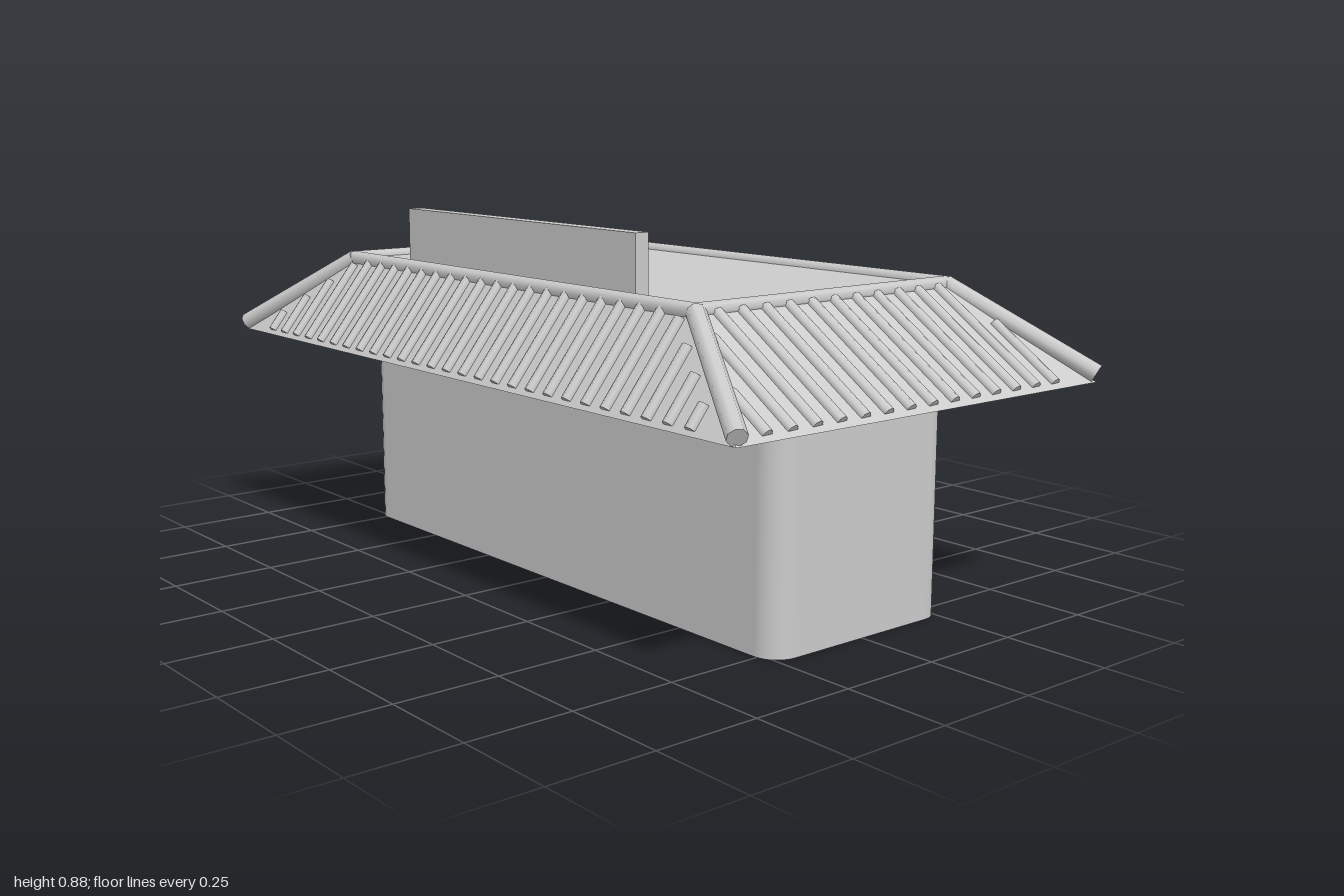
import * as THREE from 'three';

const EAVE = { x: 0.985, y: 0.53, z: 0.548 };
const RIDGE = { x: 0.685, y: 0.738, z: 0.384 };
const V = (x, y, z) => new THREE.Vector3(x, y, z);

export function createModel() {
  const model = new THREE.Group();
  const smooth = new THREE.MeshStandardMaterial({ color: 0xcccccc, side: THREE.DoubleSide });
  const flat = new THREE.MeshStandardMaterial({ color: 0xcccccc, flatShading: true });

  function add(parent, name, geometry, material) {
    const mesh = new THREE.Mesh(geometry, material);
    mesh.name = name;
    parent.add(mesh);
    return mesh;
  }

  function group(name) {
    const g = new THREE.Group();
    g.name = name;
    model.add(g);
    return g;
  }

  // Round bar between two points
  function bar(parent, name, a, b, r, material = smooth) {
    const dir = b.clone().sub(a);
    const mesh = add(parent, name, new THREE.CylinderGeometry(r, r, dir.length(), 8), material);
    mesh.position.copy(a).add(b).multiplyScalar(0.5);
    mesh.quaternion.setFromUnitVectors(V(0, 1, 0), dir.normalize());
    return mesh;
  }

  // Walls: rounded rectangular shell, open underneath
  const X = 0.803, Z = 0.265, R = 0.06, SEG = 6;
  const ring = [];
  [[1, 1], [-1, 1], [-1, -1], [1, -1]].forEach(([sx, sz], q) => {
    for (let i = 0; i <= SEG; i++) {
      const a = (q + i / SEG) * Math.PI / 2;
      ring.push([sx * (X - R) + R * Math.cos(a), sz * (Z - R) + R * Math.sin(a), Math.cos(a), Math.sin(a)]);
    }
  });
  const pos = [], nor = [], idx = [];
  ring.forEach(([x, z, nx, nz], i) => {
    pos.push(x, 0, z, x, EAVE.y, z);
    nor.push(nx, 0, nz, nx, 0, nz);
    const a = 2 * i, b = 2 * ((i + 1) % ring.length);
    idx.push(a, a + 1, b, b, a + 1, b + 1);
  });
  const walls = new THREE.BufferGeometry();
  walls.setAttribute('position', new THREE.Float32BufferAttribute(pos, 3));
  walls.setAttribute('normal', new THREE.Float32BufferAttribute(nor, 3));
  walls.setIndex(idx);
  add(model, 'walls', walls, smooth);

  // Roof: box tapered to a smaller flat deck
  const roof = new THREE.BoxGeometry(2, 1, 2);
  const p = roof.attributes.position;
  for (let i = 0; i < p.count; i++) {
    const e = p.getY(i) > 0 ? RIDGE : EAVE;
    p.setXYZ(i, p.getX(i) * e.x, e.y, p.getZ(i) * e.z);
  }
  roof.computeVertexNormals();
  add(model, 'roof', roof, flat);

  // Hip caps and the rim around the deck
  const caps = group('roofCaps');
  const rx = 0.68, ry = 0.736, rz = 0.38, r = 0.019;
  for (const s of [1, -1]) {
    for (const t of [1, -1]) {
      bar(caps, 'hipCap', V(s * 0.986, 0.549, t * 0.546), V(s * rx, ry, t * rz), 0.022);
      add(caps, 'rimCorner', new THREE.SphereGeometry(r, 10, 8), smooth).position.set(s * rx, ry, t * rz);
    }
    bar(caps, 'rimLong', V(-rx, ry, s * rz), V(rx, ry, s * rz), r);
    bar(caps, 'rimShort', V(s * rx, ry, -rz), V(s * rx, ry, rz), r);
  }

  // Tile ribs: each runs up its slope and stops below the hip
  const ribs = group('tileRibs');
  const rise = RIDGE.y - EAVE.y;
  const slope = (axis, y) => EAVE[axis] + (RIDGE[axis] - EAVE[axis]) * (y - EAVE.y) / rise;
  const topAt = (axis, d) =>
    Math.min(0.733, EAVE.y + rise * (EAVE[axis] - Math.abs(d)) / (EAVE[axis] - RIDGE[axis]) - 0.04);
  const low = 0.54;
  for (const s of [1, -1]) {
    for (let i = 0; i < 27; i++) {
      const x = (i - 13) * 0.0652, y = topAt('x', x);
      bar(ribs, 'longSideRib', V(x, low, s * slope('z', low)), V(x, y, s * slope('z', y)), 0.0135);
    }
    for (let i = 0; i < 14; i++) {
      const z = -0.417 + i * 0.0671, y = topAt('z', z);
      const lean = 0.015 * (y - low) / rise;
      bar(ribs, 'shortSideRib', V(s * slope('x', low), low, z), V(s * slope('x', y), y, z + lean), 0.0135);
    }
  }

  // Sign board standing on the front of the deck
  add(model, 'signBoard', new THREE.BoxGeometry(0.9, 0.15, 0.036), flat).position.set(0.02, 0.805, 0.348);

  return model;
}
